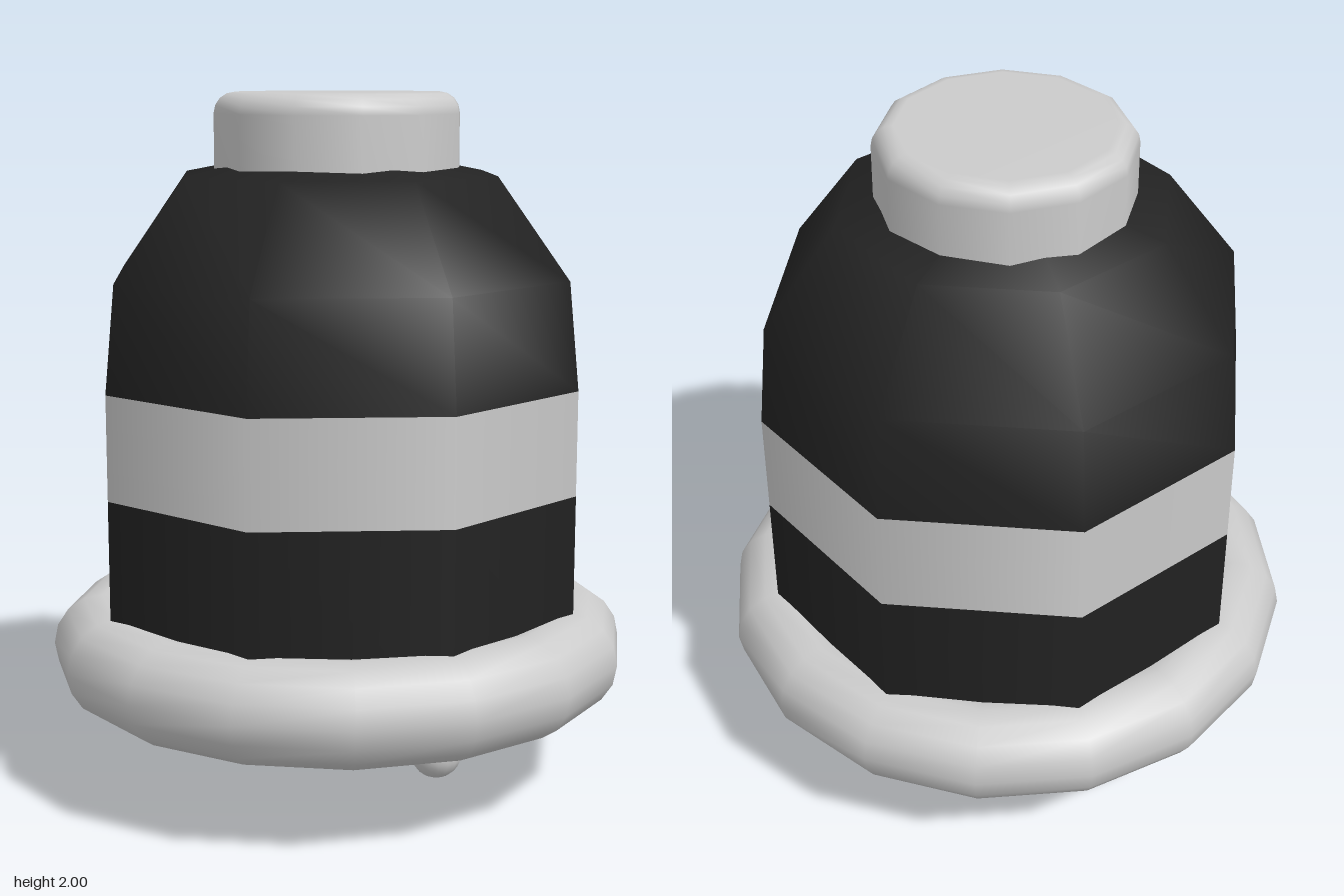
import * as THREE from 'three';

const grey = new THREE.MeshStandardMaterial({ color: 0xcccccc });
const black = new THREE.MeshStandardMaterial({ color: 0x222222 });

export function createModel() {
  const model = new THREE.Group();

  const add = (name, geometry, material) => {
    const mesh = new THREE.Mesh(geometry, material);
    mesh.name = name;
    model.add(mesh);
    return mesh;
  };
  // Profiles are [radius, height] pairs running upwards
  const lathe = (profile, sides) =>
    new THREE.LatheGeometry(profile.map(([r, y]) => new THREE.Vector2(r, y)), sides);
  // Quarter-round edge from a vertical wall to a flat top
  const roundEdge = (radius, top, bevel, steps) =>
    Array.from({ length: steps + 1 }, (_, i) => {
      const a = (i / steps) * Math.PI / 2;
      return [radius - bevel + bevel * Math.cos(a), top - bevel + bevel * Math.sin(a)];
    });

  // Eight-sided body: closed underside, lower wall, band and dome
  const underside = add('bodyUnderside', new THREE.CircleGeometry(0.71, 8), black);
  underside.rotation.x = Math.PI / 2;
  underside.position.y = 0.39;
  add('lowerBody', lathe([[0.71, 0.39], [0.71, 0.88]], 8), black);
  add('band', lathe([[0.71, 0.88], [0.71, 1.18]], 8), grey);
  add('dome', lathe([[0.71, 1.18], [0.68, 1.485], [0.47, 1.77], [0, 1.86]], 8), black);

  // Sixteen-sided ring around the foot of the body
  const ring = add('baseRing', new THREE.TorusGeometry(0.695, 0.145, 16, 16), grey);
  ring.rotation.x = Math.PI / 2;
  ring.position.y = 0.395;

  // Top button with a rounded rim, sunk into the dome
  add('topButton', lathe([[0.355, 1.68], ...roundEdge(0.355, 2, 0.06, 4), [0, 2]], 12), grey);

  // Two round-ended pins under the body
  for (const side of [-1, 1]) {
    const pin = add(side > 0 ? 'leftPin' : 'rightPin',
      new THREE.CapsuleGeometry(0.077, 0.326, 6, 16), grey);
    pin.position.set(side * 0.307, 0.24, 0);
  }

  return model;
}
